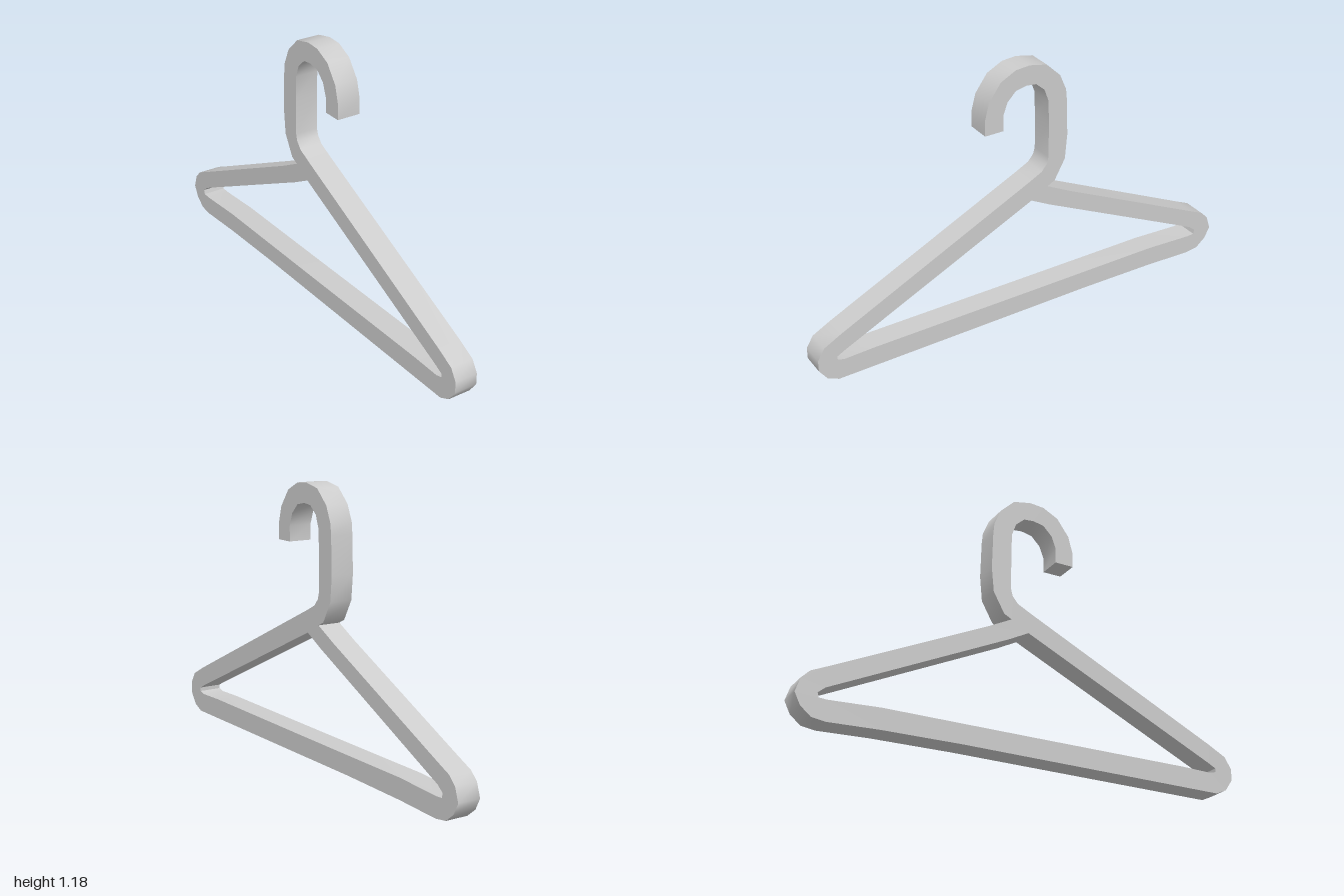
import * as THREE from 'three';
import { toCreasedNormals } from 'three/addons/utils/BufferGeometryUtils.js';

const points = (list) => list.map(([z, y]) => new THREE.Vector2(z, y));

// Outer edge as (z, y), clockwise from the open end of the hook
const outline = [
  // inside of the hook and neck
  [0.21, 0.923], [0.125, 0.923], [0.125, 0.99], [0.105, 1.045], [0.065, 1.085],
  [0.015, 1.095], [-0.03, 1.09], [-0.07, 1.055], [-0.09, 1.0], [-0.093, 0.9],
  [-0.093, 0.74], [-0.085, 0.71], [-0.06, 0.68], [0, 0.65],
  // front shoulder and its rounded end
  [0.89, 0.232], [0.97, 0.19], [1.0, 0.14], [1.0, 0.09], [0.965, 0.04], [0.915, 0.017],
  // bottom bar
  [-0.3, 0.016], [-0.65, 0.01], [-0.87, 0.0],
  // rear shoulder and its rounded end
  [-0.93, 0.008], [-0.975, 0.045], [-1.0, 0.095], [-0.98, 0.155], [-0.945, 0.19],
  [-0.87, 0.225], [-0.2, 0.545], [-0.09, 0.602],
  // outside of the neck and hook
  [-0.125, 0.62], [-0.175, 0.71], [-0.185, 0.82], [-0.18, 0.98], [-0.175, 1.03],
  [-0.145, 1.1], [-0.08, 1.163], [0, 1.18], [0.065, 1.175], [0.135, 1.14],
  [0.19, 1.065], [0.21, 0.99],
];

// Inner edge of the triangular frame, counter-clockwise so its walls face inward
const opening = [
  [-0.01, 0.558], [-0.1, 0.51], [-0.62, 0.26], [-0.88, 0.135], [-0.91, 0.11],
  [-0.905, 0.09], [-0.87, 0.088], [-0.65, 0.1], [0, 0.103], [0.75, 0.108],
  [0.885, 0.105], [0.915, 0.113], [0.915, 0.13], [0.88, 0.148],
];

export function createModel() {
  const group = new THREE.Group();
  group.name = 'coatHanger';
  const material = new THREE.MeshStandardMaterial({ color: 0xcccccc });
  material.name = 'light grey';

  const shape = new THREE.Shape(points(outline));
  shape.holes.push(new THREE.Path(points(opening)));

  // Flat bar section, turned so that the profile lies in the z-y plane
  const thickness = 0.104;
  const geometry = new THREE.ExtrudeGeometry(shape, { depth: thickness, bevelEnabled: false });
  geometry.translate(0, 0, -thickness / 2);
  geometry.rotateY(-Math.PI / 2);

  const hanger = new THREE.Mesh(toCreasedNormals(geometry, 0.8), material);
  hanger.name = 'hangerFrameAndHook';
  group.add(hanger);
  return group;
}
